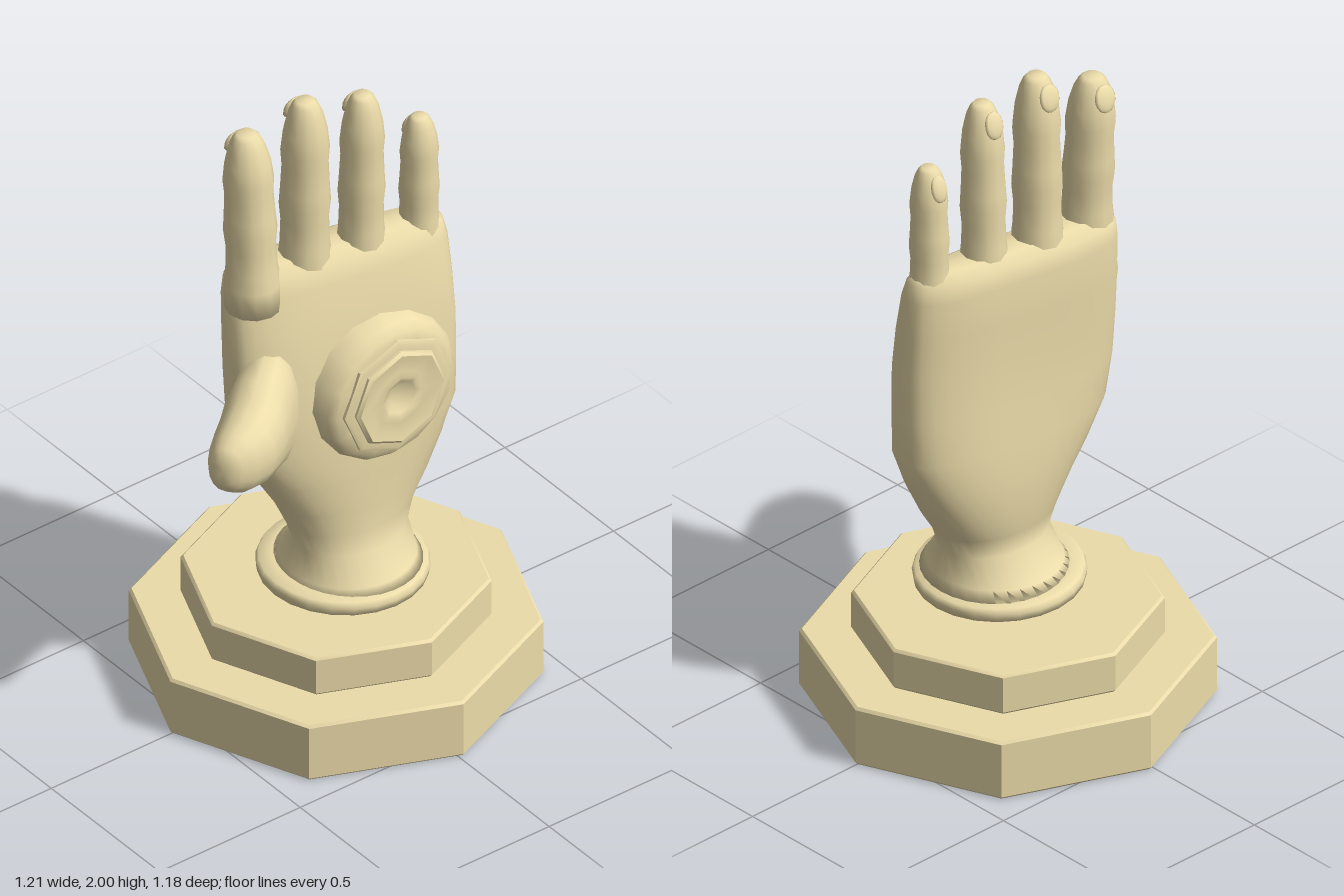
import * as THREE from 'three';
import { toCreasedNormals } from 'three/addons/utils/BufferGeometryUtils.js';

const material = new THREE.MeshStandardMaterial({ color: 0xecdcaa });

function part(name, geometry, parent) {
  const mesh = new THREE.Mesh(geometry, material);
  mesh.name = name;
  parent.add(mesh);
  return mesh;
}

// Skin through rings {c: centre, u, v: half axes, p: roundness}, closed at both ends
function loft(rings, sides) {
  const pos = [], index = [];
  const soft = (t, p) => Math.sign(t) * Math.abs(t) ** p;
  for (const { c, u, v, p = 1 } of rings) {
    for (let i = 0; i < sides; i++) {
      const a = (i / sides) * Math.PI * 2;
      const q = c.clone().addScaledVector(u, soft(Math.cos(a), p)).addScaledVector(v, soft(Math.sin(a), p));
      pos.push(q.x, q.y, q.z);
    }
  }
  const n = rings.length;
  for (const k of [0, n - 1]) pos.push(...rings[k].c.toArray());
  for (let r = 0; r < n - 1; r++) {
    for (let i = 0; i < sides; i++) {
      const j = (i + 1) % sides, a = r * sides + i, b = r * sides + j;
      index.push(a, b, a + sides, b, b + sides, a + sides);
    }
  }
  for (let i = 0; i < sides; i++) {
    const j = (i + 1) % sides, top = (n - 1) * sides;
    index.push(n * sides, j, i, n * sides + 1, top + i, top + j);
  }
  const g = new THREE.BufferGeometry();
  g.setAttribute('position', new THREE.Float32BufferAttribute(pos, 3));
  g.setIndex(index);
  g.computeVertexNormals();
  return g;
}

const lathe = (points, sides) =>
  new THREE.LatheGeometry(points.map(([r, y]) => new THREE.Vector2(r, y)), sides);
const V = (x, y, z) => new THREE.Vector3(x, y, z);

export function createModel() {
  const model = new THREE.Group();
  model.name = 'handStatue';

  // Two-step octagonal plinth
  const tier = (name, r, y0, y1) => {
    const b = 0.008;
    const g = lathe([[0, y0], [r - b, y0], [r, y0 + b], [r, y1 - b], [r - b, y1], [0, y1]], 8);
    part(name, toCreasedNormals(g, 0.6), model).position.x = 0.013;
  };
  tier('lowerPlinth', 0.589, 0, 0.19);
  tier('upperPlinth', 0.442, 0.19, 0.32);

  const hand = new THREE.Group();
  hand.name = 'hand';
  model.add(hand);

  // Rim under the wrist, slightly tilted
  const rim = part('wristRim', lathe(
    [[0, -0.025], [0.225, -0.025], [0.244, -0.018], [0.248, 0.005], [0.24, 0.022], [0.2, 0.03], [0, 0.03]], 24), hand);
  rim.position.set(0.003, 0.373, 0.045);
  rim.rotation.z = -0.03;

  // Wrist and palm: y, left x, right x, front z, back z, skew, roundness
  const palm = [
    [0.385, -0.215, 0.23, 0.28, -0.185, 0, 1],
    [0.42, -0.185, 0.205, 0.255, -0.14, 0, 1],
    [0.5, -0.165, 0.19, 0.198, -0.07, 0, 1],
    [0.57, -0.183, 0.217, 0.188, -0.08, 0.01, 0.95],
    [0.65, -0.215, 0.268, 0.187, -0.095, 0.03, 0.9],
    [0.76, -0.28, 0.32, 0.185, -0.1, 0.06, 0.85],
    [0.87, -0.34, 0.357, 0.182, -0.098, 0.08, 0.8],
    [1.0, -0.36, 0.355, 0.175, -0.092, 0.1, 0.78],
    [1.15, -0.36, 0.352, 0.16, -0.088, 0.13, 0.76],
    [1.28, -0.352, 0.348, 0.135, -0.09, 0.15, 0.75],
    [1.4, -0.345, 0.344, 0.105, -0.088, 0.16, 0.75],
    [1.455, -0.338, 0.335, 0.085, -0.078, 0.16, 0.75],
    [1.48, -0.31, 0.31, 0.05, -0.045, 0.16, 0.8],
  ];
  part('palm', loft(palm.map(([y, xl, xr, zf, zb, skew, p]) => {
    const a = (xr - xl) / 2;
    return { c: V((xl + xr) / 2, y, (zf + zb) / 2), u: V(a, 0, a * skew), v: V(0, 0, -(zf - zb) / 2), p };
  }), 32), hand);

  // Fingers with gentle joint swellings and tapered tips
  const outline = [[0, 1.1], [0.14, 1.08], [0.24, 0.98], [0.36, 0.95], [0.45, 1.02], [0.54, 0.97],
    [0.66, 0.92], [0.74, 0.97], [0.84, 0.88], [0.93, 0.7], [0.98, 0.52], [1, 0.36]];
  const fingers = [
    ['index', -0.272, -0.028, 0.076, 1.94, -0.03],
    ['middle', -0.094, -0.005, 0.073, 2.0, 0.005],
    ['ring', 0.081, 0.03, 0.067, 1.965, 0.01],
    ['little', 0.266, 0.055, 0.058, 1.82, 0.005],
  ];
  for (const [name, x, z, r, top, lean] of fingers) {
    const base = 1.36;
    const rings = outline.map(([t, w]) => ({
      c: V(x, base + t * (top - base), z + lean * (t - 0.5)),
      u: V(r * w, 0, 0), v: V(0, 0, -r * w),
    }));
    part(name + 'Finger', loft(rings, 12), hand);
    // Nail on the back of the tip
    const nail = part(name + 'Nail', new THREE.SphereGeometry(1, 10, 8), hand);
    nail.scale.set(r * 0.5, 0.042, 0.012);
    nail.position.set(x, top - 0.055, z + lean * 0.4 - r * 0.74);
    nail.rotation.x = 0.3;
  }

  // Thumb: centre, half height, half thickness, roundness
  const thumb = [
    [-0.2, 1.02, 0.02, 0.25, 0.08],
    [-0.29, 1.035, 0.065, 0.2, 0.095],
    [-0.36, 1.05, 0.12, 0.163, 0.1],
    [-0.42, 1.06, 0.172, 0.133, 0.098],
    [-0.48, 1.065, 0.213, 0.118, 0.092],
    [-0.535, 1.065, 0.238, 0.1, 0.075],
    [-0.572, 1.067, 0.252, 0.074, 0.052],
    [-0.587, 1.068, 0.258, 0.045, 0.03],
  ];
  const along = V(-0.8, 0, 0.6), up = V(0, 1, 0), across = along.clone().cross(up);
  part('thumb', loft(thumb.map(([x, y, z, h, w]) => ({
    c: V(x, y, z), u: up.clone().multiplyScalar(h), v: across.clone().multiplyScalar(w), p: 0.92,
  })), 16), hand);
  const thumbNail = part('thumbNail', new THREE.SphereGeometry(1, 10, 8), hand);
  thumbNail.scale.set(0.04, 0.05, 0.012);
  thumbNail.position.set(-0.572, 1.067, 0.192);
  thumbNail.rotation.y = 0.75;

  // Raised octagonal medallion in the palm with a dished centre
  const medallion = new THREE.Group();
  medallion.name = 'medallion';
  medallion.position.set(0.06, 1.03, 0);
  medallion.rotation.x = Math.PI / 2;
  hand.add(medallion);
  part('medallionMound', lathe(
    [[0.25, 0.1], [0.24, 0.15], [0.225, 0.19], [0.205, 0.212], [0.17, 0.22], [0, 0.22]], 16), medallion);
  part('medallionStep', toCreasedNormals(lathe(
    [[0.19, 0.2], [0.19, 0.226], [0.18, 0.23], [0.15, 0.23]], 8), 0.6), medallion);
  part('medallionPlate', toCreasedNormals(lathe(
    [[0.158, 0.21], [0.158, 0.238], [0.148, 0.246], [0.135, 0.244], [0.09, 0.238], [0.07, 0.242],
      [0.055, 0.236], [0.035, 0.224], [0, 0.226]], 8), 0.75), medallion);

  return model;
}
